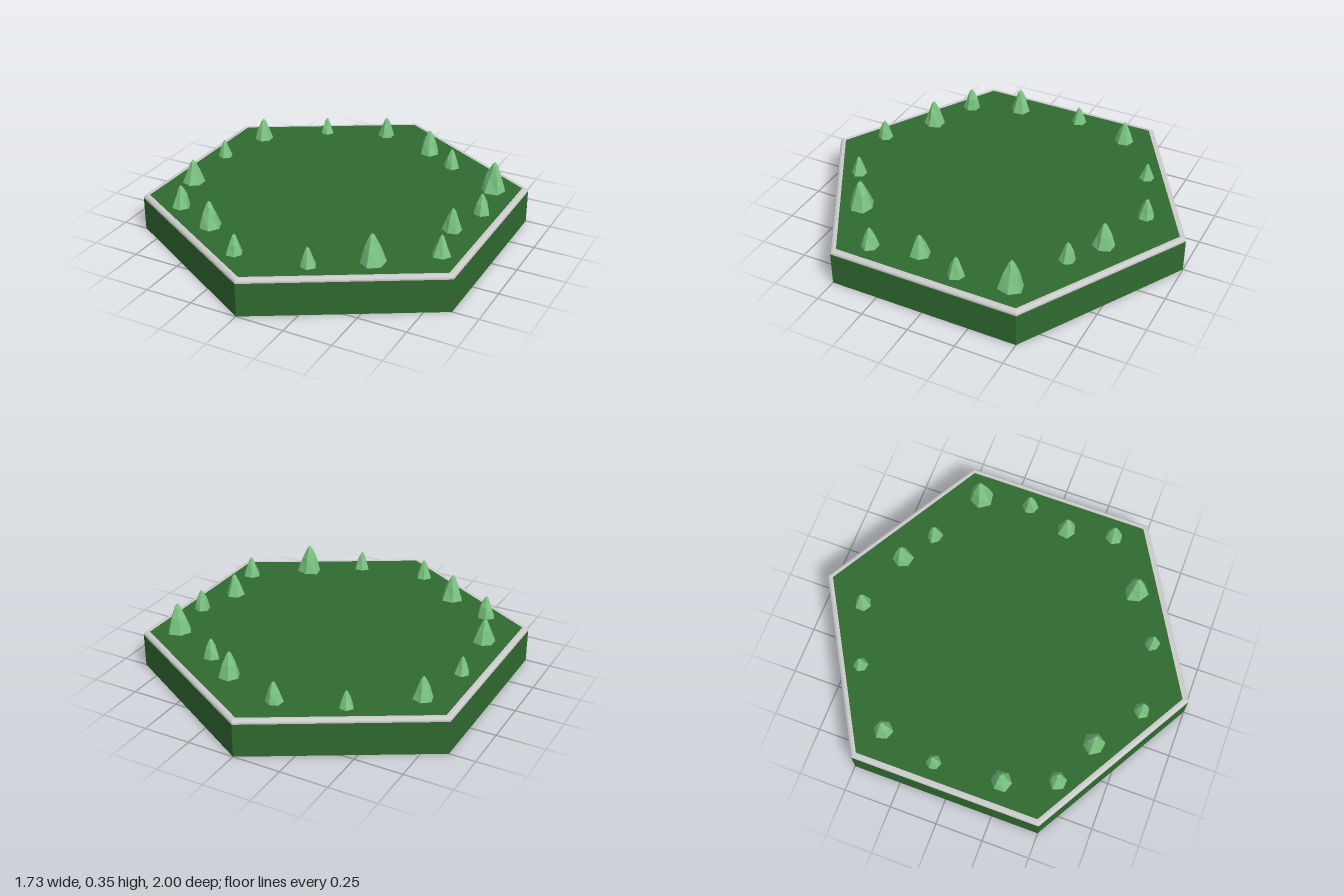
import * as THREE from 'three';

const paint = (color, side = THREE.FrontSide) =>
  new THREE.MeshStandardMaterial({ color, flatShading: true, side });

// Small seeded generator for the irregular bushes
function seeded(seed) {
  let s = seed;
  return () => (s = (s * 16807) % 2147483647) / 2147483647;
}

// Six-sided faceted cone, bulging slightly and uneven around its rings
function bushGeometry(height, rand) {
  const radius = height * 0.41;
  const profile = [[0, 0], [1, 0], [0.6, 0.52], [0.24, 0.88], [0, 1]]
    .map(([r, y]) => new THREE.Vector2(r * radius, y * height));
  const sides = 6;
  const geo = new THREE.LatheGeometry(profile, sides);
  const pos = geo.attributes.position;
  const rows = profile.length;
  const jitter = Array.from({ length: sides * rows }, () => 0.88 + rand() * 0.24);
  for (let i = 0; i < pos.count; i++) {
    const k = jitter[((Math.floor(i / rows) % sides) * rows) + (i % rows)];
    pos.setX(i, pos.getX(i) * k);
    pos.setZ(i, pos.getZ(i) * k);
  }
  return geo;
}

export function createModel() {
  const group = new THREE.Group();
  const add = (name, geometry, material) => {
    const mesh = new THREE.Mesh(geometry, material);
    mesh.name = name;
    group.add(mesh);
    return mesh;
  };
  const green = paint(0x306a30);
  const grey = paint(0xcccccc);
  const leaf = paint(0x7cc683, THREE.DoubleSide);

  const top = 0.195, rimBase = 0.175;

  // Hexagonal slab walls, points towards front and back
  const walls = new THREE.CylinderGeometry(1, 1, rimBase, 6, 1, true);
  add('sideWalls', walls.translate(0, rimBase / 2, 0), green);

  // Underside
  const base = new THREE.CircleGeometry(1, 6, Math.PI / 2).rotateX(Math.PI / 2);
  add('underside', base, grey);

  // Bevelled rim around the top edge
  const rim = [[1, rimBase], [1, 0.183], [0.995, 0.19], [0.985, top], [0.967, top]]
    .map(([r, y]) => new THREE.Vector2(r, y));
  add('rim', new THREE.LatheGeometry(rim, 6), grey);

  // Grass surface inside the rim
  const grass = new THREE.CircleGeometry(0.967, 6, Math.PI / 2).rotateX(-Math.PI / 2);
  add('grassTop', grass.translate(0, top, 0), green);

  // Bushes scattered around the edge: x, z, height
  const bushes = [
    [-0.08, -0.76, 0.11], [-0.40, -0.64, 0.09], [0.23, -0.66, 0.135],
    [0.41, -0.55, 0.105], [0.71, -0.40, 0.16], [0.75, -0.13, 0.11],
    [0.69, 0.10, 0.12], [0.74, 0.35, 0.11], [0.48, 0.56, 0.155],
    [0.23, 0.73, 0.10], [-0.13, 0.79, 0.105], [-0.38, 0.62, 0.14],
    [-0.62, 0.51, 0.12], [-0.72, 0.25, 0.13], [-0.75, -0.10, 0.095],
    [-0.68, -0.40, 0.12],
  ];
  const rand = seeded(4217);
  for (const [x, z, height] of bushes) {
    const bush = add('bush', bushGeometry(height, rand), leaf);
    bush.position.set(x, top, z);
    bush.rotation.y = rand() * Math.PI * 2;
  }
  return group;
}
